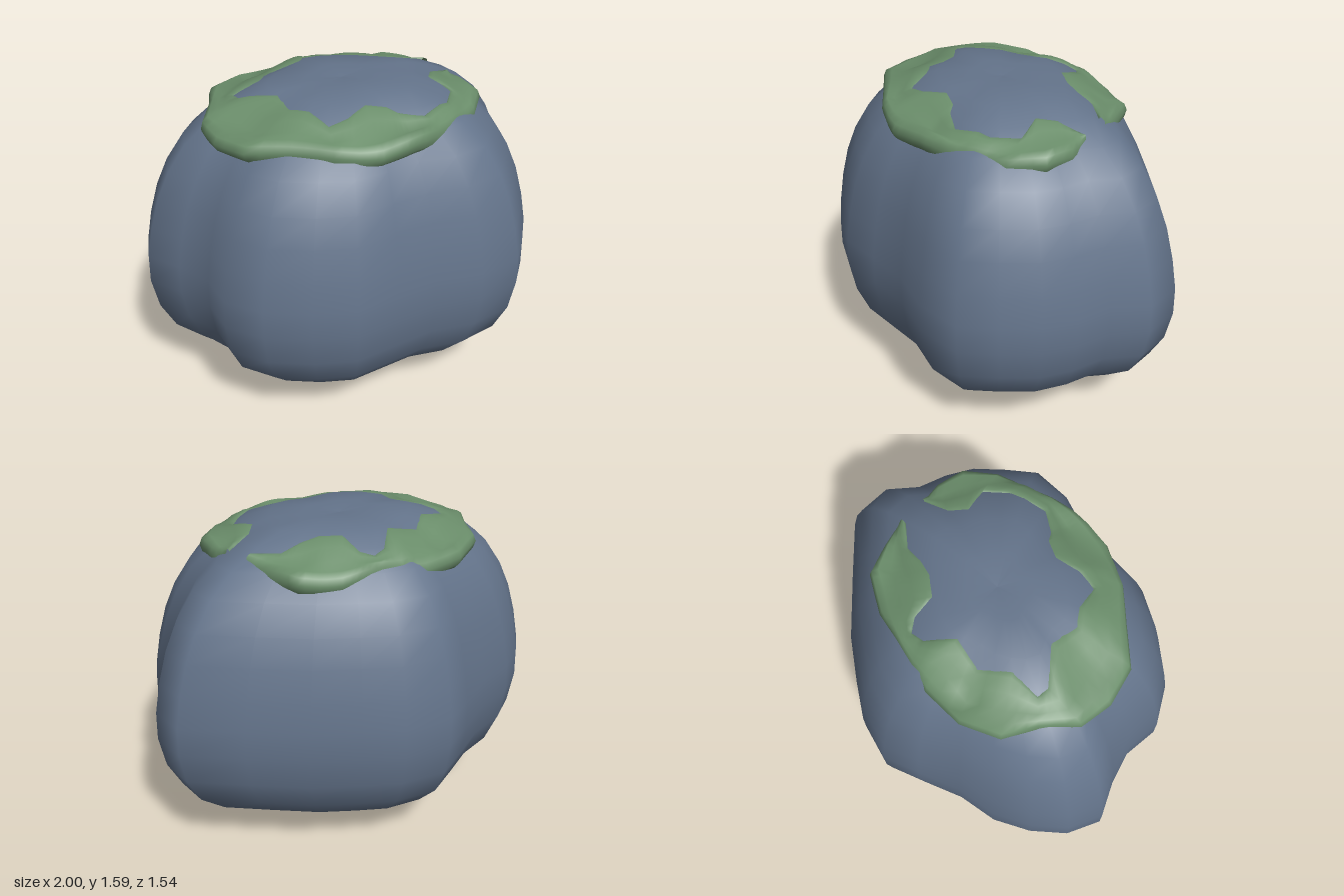
import * as THREE from 'three';

// Widest horizontal outline of the boulder (x, z)
const OUTLINE = [
  [-1, 0.01], [-0.97, -0.16], [-0.87, -0.31], [-0.73, -0.44], [-0.54, -0.53], [-0.37, -0.66], [-0.22, -0.77],
  [0.01, -0.77], [0.2, -0.71], [0.42, -0.63], [0.68, -0.49], [0.95, -0.34], [1, -0.16], [0.92, 0.01],
  [0.91, 0.18], [0.87, 0.34], [0.77, 0.5], [0.66, 0.65], [0.44, 0.71], [0.21, 0.69], [0, 0.73],
  [-0.21, 0.77], [-0.41, 0.72], [-0.61, 0.63], [-0.75, 0.49], [-0.78, 0.31], [-0.88, 0.15],
];

// Outline scale at each height (scale, y), bottom to top
const PROFILE = [
  [0, 0], [0.3, 0.06], [0.57, 0.14], [0.77, 0.245], [0.9, 0.36], [0.97, 0.5], [1, 0.66], [0.995, 0.8],
  [0.965, 0.95], [0.92, 1.1], [0.86, 1.23], [0.77, 1.36], [0.65, 1.46], [0.5, 1.53], [0.36, 1.575],
  [0.18, 1.587], [0, 1.575],
];

// Moss band: outer rim (x, z) paired with ragged inner edge (x, z)
const MOSS = [
  [0.54, -0.2, 0.5, -0.19], [0.47, -0.32, 0.38, -0.24], [0.39, -0.44, 0.28, -0.22], [0.3, -0.465, 0.2, -0.22],
  [0.2, -0.49, 0.1, -0.26], [0.1, -0.485, 0.07, -0.37], [0, -0.485, 0.02, -0.415], [-0.1, -0.485, -0.04, -0.39],
  [-0.22, -0.485, -0.12, -0.26], [-0.42, -0.43, -0.27, -0.25], [-0.57, -0.31, -0.36, -0.13],
  [-0.61, -0.15, -0.5, -0.09], [-0.69, 0.02, -0.49, -0.04], [-0.67, 0.18, -0.33, 0.07], [-0.58, 0.34, -0.32, 0.2],
  [-0.4, 0.43, -0.25, 0.26], [-0.23, 0.52, -0.2, 0.37], [-0.12, 0.55, -0.11, 0.355], [-0.02, 0.57, 0, 0.29],
  [0.1, 0.55, 0.09, 0.31], [0.2, 0.52, 0.13, 0.35], [0.31, 0.47, 0.24, 0.39], [0.41, 0.41, 0.4, 0.3],
  [0.54, 0.32, 0.47, 0.19], [0.64, 0.18, 0.4, 0.08], [0.63, 0.04, 0.45, 0], [0.585, -0.06, 0.57, -0.06],
];

// Smooth surface through a grid of points given row by row
function gridGeometry(rows, wrap) {
  const n = rows[0].length, index = [];
  for (let j = 0; j < rows.length - 1; j++) {
    for (let i = 0; i < (wrap ? n : n - 1); i++) {
      const k = (i + 1) % n;
      const a = j * n + i, b = j * n + k, c = a + n, d = b + n;
      if (wrap) index.push(a, c, b, b, c, d);
      else index.push(a, b, c, c, b, d);
    }
  }
  const geo = new THREE.BufferGeometry();
  geo.setAttribute('position', new THREE.Float32BufferAttribute(rows.flat(2), 3));
  geo.setIndex(index);
  geo.computeVertexNormals();
  return geo;
}

// Height of the boulder's upper surface above a point
function topHeight(x, z) {
  let s = 0;
  OUTLINE.forEach((p, i) => {
    const q = OUTLINE[(i + 1) % OUTLINE.length];
    const det = p[0] * q[1] - p[1] * q[0];
    const u = (x * q[1] - z * q[0]) / det, v = (p[0] * z - p[1] * x) / det;
    if (u >= -1e-6 && v >= -1e-6) s = u + v;
  });
  for (let i = PROFILE.length - 1; i > 6; i--) {
    const [s0, y0] = PROFILE[i], [s1, y1] = PROFILE[i - 1];
    if (s <= s1) return y0 + (y1 - y0) * (s - s0) / (s1 - s0);
  }
  return 0.66;
}

function mossGeometry() {
  const rows = [], steps = 3;
  for (let i = 0; i <= (MOSS.length - 1) * steps; i++) {
    const m = Math.min(Math.floor(i / steps), MOSS.length - 2), f = i / steps - m;
    const [ox, oz, ix, iz] = MOSS[m].map((v, k) => v + (MOSS[m + 1][k] - v) * f);
    const full = Math.min(1, Math.hypot(ox - ix, oz - iz) / 0.09);
    const wave = 0.012 * Math.sin(i * 0.45);
    // Section: inner edge, over the crown, round the rim, tucked underneath
    const section = [[0, null, -0.003], [0.12, null, 0.01], [0.35, null, 0.016], [0.6, null, 0.016],
      [0.82, 1.49, 0.012], [0.95, 1.472, 0], [1, 1.44, 0], [0.96, 1.405, 0], [0.88, 1.385, 0], [0.6, 1.39, 0]];
    rows.push(section.map(([t, y, lift]) => {
      const x = ix + (ox - ix) * t, z = iz + (oz - iz) * t, ground = topHeight(x, z);
      let h = ground + lift;
      if (y !== null) {
        const rim = y + wave;
        h = lift > 0 ? Math.max(h, rim) : ground + (rim - ground) * full;
      }
      return [x, h, z];
    }));
  }
  return gridGeometry(rows, false);
}

export function createModel() {
  const stone = new THREE.MeshStandardMaterial({ color: 0x64748b });
  stone.name = 'slate stone';
  const green = new THREE.MeshStandardMaterial({ color: 0x6b8e6b, side: THREE.DoubleSide });
  green.name = 'moss green';

  const group = new THREE.Group();
  group.name = 'mossyBoulder';

  // Lobed boulder
  const rings = PROFILE.map(([s, y]) => OUTLINE.map(([x, z]) => [x * s, y, z * s]));
  const boulder = new THREE.Mesh(gridGeometry(rings, true), stone);
  boulder.name = 'boulder';

  // Open band of moss draped round the crown
  const moss = new THREE.Mesh(mossGeometry(), green);
  moss.name = 'mossBand';

  group.add(boulder, moss);
  return group;
}
